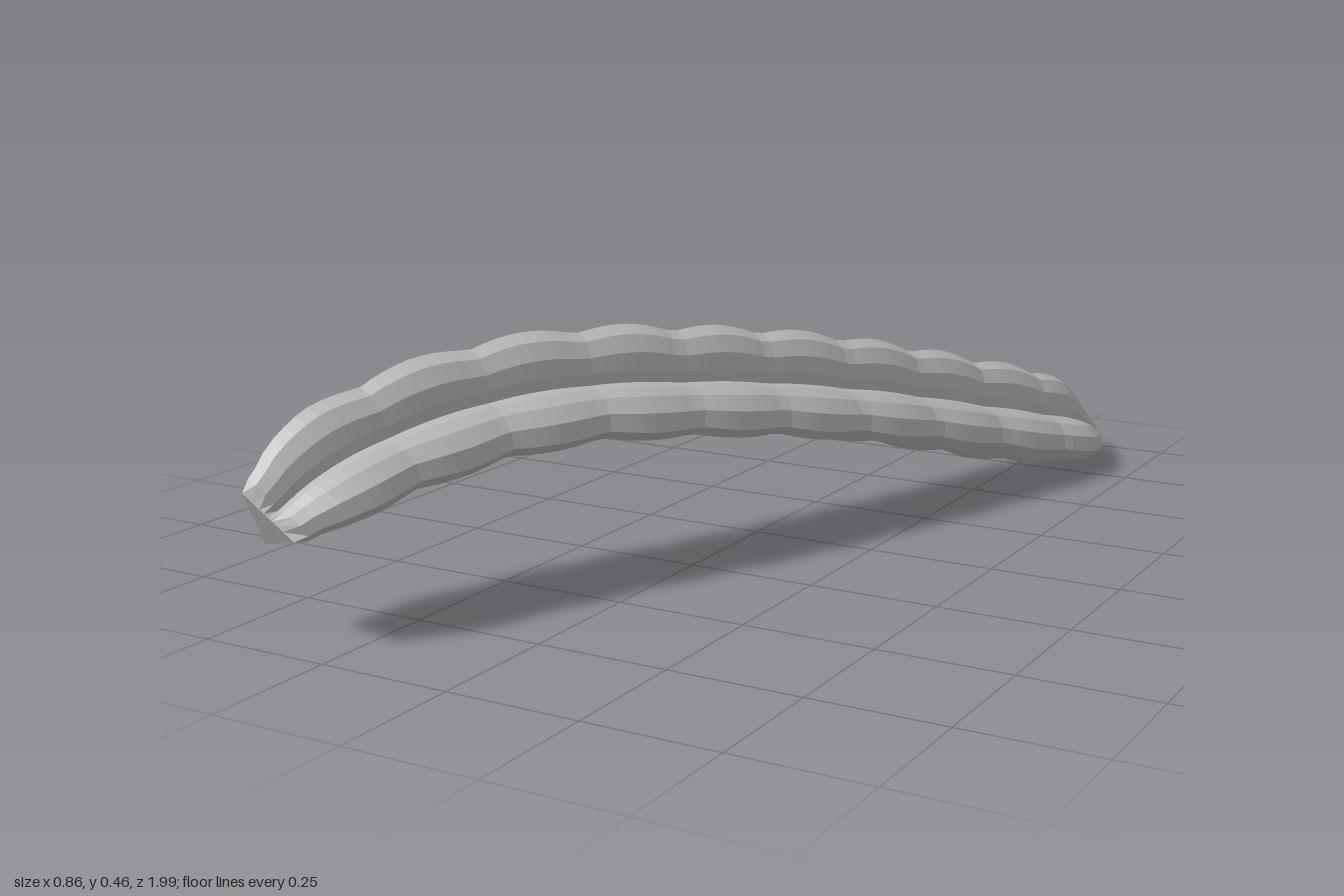
import * as THREE from 'three';

const RINGS = 96;

// centre line from the pointed tail to the blunt stem end
const spine = new THREE.CatmullRomCurve3([
  [0.357, 0.037, -1], [0.335, 0.087, -0.8], [0.268, 0.14, -0.6], [0.193, 0.195, -0.4],
  [0.117, 0.247, -0.2], [0.028, 0.29, 0], [-0.058, 0.322, 0.2], [-0.155, 0.342, 0.4],
  [-0.25, 0.332, 0.6], [-0.315, 0.295, 0.78], [-0.348, 0.255, 0.89], [-0.37, 0.213, 0.968],
].map(p => new THREE.Vector3(...p)));

// ridge radius at fractions of the length
const radii = [[0, 0.005], [0.03, 0.04], [0.06, 0.078], [0.1, 0.114], [0.14, 0.127],
  [0.5, 0.129], [0.88, 0.128], [0.93, 0.122], [0.965, 0.11], [0.985, 0.093], [1, 0.072]];

// one rounded lobe of the section: degrees from its ridge, share of the ridge radius
const lobe = [[-60, 0.36], [-45, 0.5], [-30, 0.7], [-15, 0.89], [0, 1], [15, 0.89], [30, 0.7], [45, 0.5]];
const section = [0, 120, 240].flatMap(turn => lobe.map(([a, r]) => ({ a: a + turn, off: a, r })));
const SIDES = section.length;

function radiusAt(t) {
  let i = 1;
  while (i < radii.length - 1 && radii[i][0] < t) i++;
  const [t0, r0] = radii[i - 1], [t1, r1] = radii[i];
  return r0 + (r1 - r0) * (t - t0) / (t1 - t0);
}

// seed bumps along the length
const bump = t => 0.89 + 0.11 * Math.abs(Math.sin(Math.PI * (10.8 * t + 0.43)));

// direction of the top ridge in degrees
const twist = t => 97 + 7 * (1 - THREE.MathUtils.smoothstep(t, 0, 0.5))
  + 10 * THREE.MathUtils.smoothstep(t, 0.8, 1);

function podGeometry() {
  const pos = [], index = [], rad = THREE.MathUtils.degToRad;
  for (let i = 0; i <= RINGS; i++) {
    const t = i / RINGS, c = spine.getPointAt(t), T = spine.getTangentAt(t);
    const U = new THREE.Vector3(0, 1, 0).addScaledVector(T, -T.y).normalize();
    const S = U.clone().cross(T);
    for (const { a, off, r } of section) {
      // the cut stem end is a plain triangle
      const share = i === RINGS ? 0.5 / Math.cos(rad(60 - Math.abs(off))) : r;
      const d = radiusAt(t) * bump(t) * share, ang = rad(a + twist(t));
      const p = c.clone().addScaledVector(S, d * Math.cos(ang)).addScaledVector(U, d * Math.sin(ang));
      pos.push(p.x, p.y, p.z);
    }
  }
  // end centres
  const tail = pos.length / 3, stem = tail + 1, last = RINGS * SIDES;
  pos.push(...spine.getPointAt(0).toArray(), ...spine.getPointAt(1).toArray());
  for (let j = 0; j < SIDES; j++) {
    const k = (j + 1) % SIDES;
    for (let i = 0; i < RINGS; i++) {
      const a = i * SIDES + j, b = i * SIDES + k;
      index.push(a, b, b + SIDES, a, b + SIDES, a + SIDES);
    }
    index.push(tail, k, j, stem, last + j, last + k);
  }
  const g = new THREE.BufferGeometry();
  g.setAttribute('position', new THREE.Float32BufferAttribute(pos, 3));
  g.setIndex(index);
  g.computeVertexNormals();

  // stand on the ground, centred
  g.computeBoundingBox();
  const { min, max } = g.boundingBox;
  return g.translate(-(min.x + max.x) / 2, -min.y, -(min.z + max.z) / 2);
}

export function createModel() {
  const grey = new THREE.MeshStandardMaterial({ color: 0xb8b8b8 });
  grey.name = 'grey';
  grey.flatShading = true;
  const pod = new THREE.Mesh(podGeometry(), grey);
  pod.name = 'ridgedPod';
  const group = new THREE.Group();
  group.name = 'pod';
  group.add(pod);
  return group;
}
